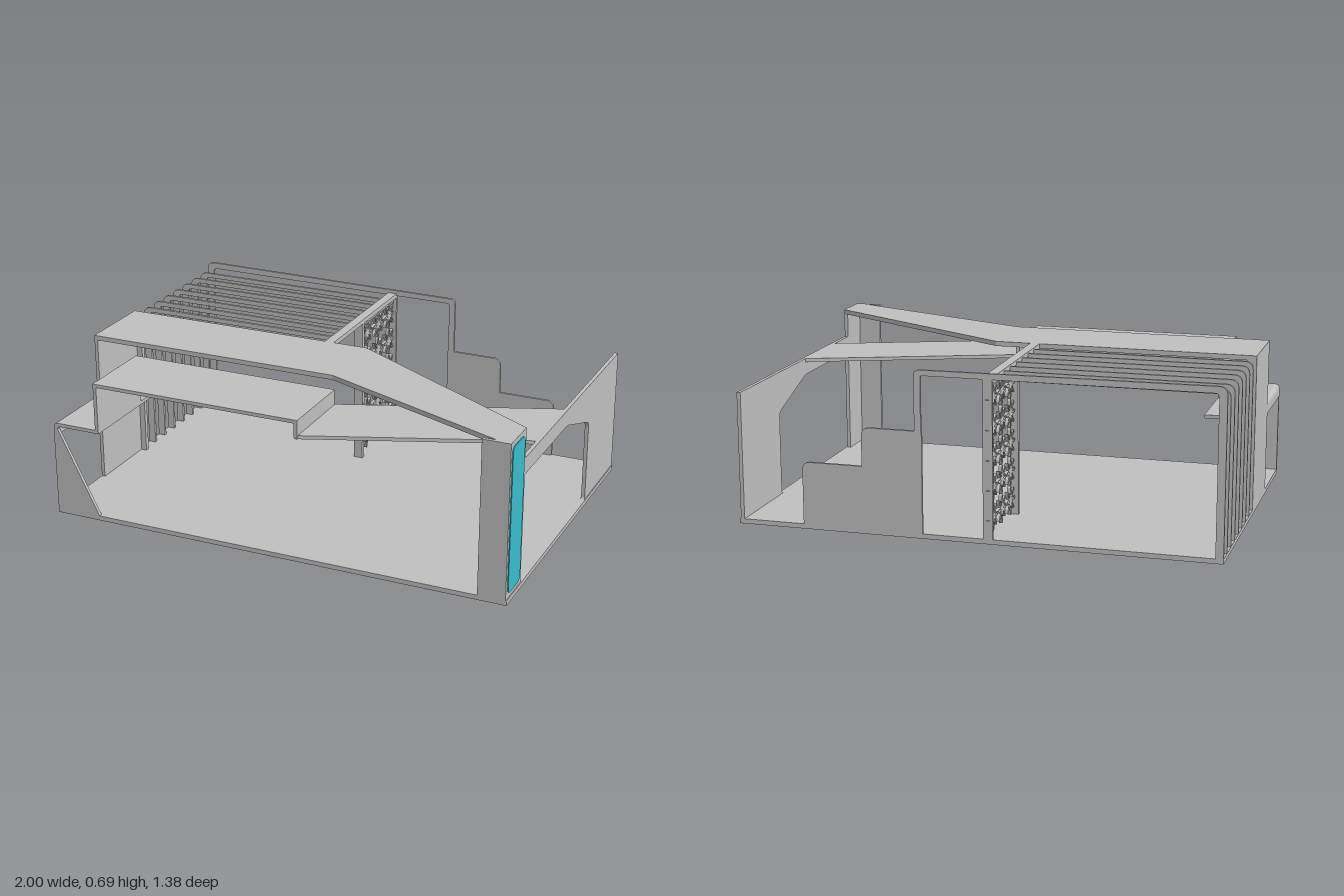
import * as THREE from 'three';

const grey = new THREE.MeshStandardMaterial({ color: 0xc0c0c0 });
grey.name = 'light grey';
const teal = new THREE.MeshStandardMaterial({ color: 0x38bece });
teal.name = 'teal';

// Outline from points; [x, y, cx, cy] is a curve to x, y round control cx, cy
function outline(points, Type = THREE.Shape) {
  const s = new Type();
  points.forEach(([x, y, cx, cy], i) => {
    if (i === 0) s.moveTo(x, y);
    else if (cx !== undefined) s.quadraticCurveTo(cx, cy, x, y);
    else s.lineTo(x, y);
  });
  s.closePath();
  return s;
}

const extrude = (shape, depth) =>
  new THREE.ExtrudeGeometry(shape, { depth, bevelEnabled: false, curveSegments: 8 });

export function createModel() {
  const model = new THREE.Group();
  model.name = 'exhibitionStand';

  function add(name, geometry, material = grey) {
    const mesh = new THREE.Mesh(geometry, material);
    mesh.name = name;
    model.add(mesh);
    return mesh;
  }
  const box = (name, x0, x1, y0, y1, z0, z1) =>
    add(name, new THREE.BoxGeometry(x1 - x0, y1 - y0, z1 - z0)
      .translate((x0 + x1) / 2, (y0 + y1) / 2, (z0 + z1) / 2));
  // Plate facing the front, outline in x, y
  const frontPlate = (name, shape, z0, z1) =>
    add(name, extrude(shape, z1 - z0).translate(0, 0, z0));
  // Plate facing sideways, outline in z, y
  const sidePlate = (name, shape, x0, x1, material) =>
    add(name, extrude(shape, x1 - x0).rotateY(-Math.PI / 2).translate(x1, 0, 0), material);
  // Horizontal sheet, outline in x, z
  const sheet = (name, points, y0, y1) =>
    add(name, extrude(outline(points), y1 - y0).rotateX(Math.PI / 2).translate(0, y1, 0));

  box('floor', -1, 1, 0, 0.02, -0.69, 0.69);

  // Upper roof, bending diagonally to the front column
  sheet('upperRoof', [[-1, 0], [0.11, 0], [0.995, 0.52], [0.995, 0.69], [0.97, 0.69], [0.11, 0.34], [-1, 0.34]], 0.655, 0.675);

  // Left end wall with its rear return
  box('leftWall', -1, -0.985, 0.02, 0.656, 0, 0.34);
  box('leftWallReturn', -0.985, -0.96, 0.02, 0.656, 0, 0.02);

  // Front ribbon: shelf, riser, canopy and step in one folded strip
  const hook = [[-0.97, 0.395], [-0.985, 0.355, -0.985, 0.395]];
  frontPlate('frontCanopy', outline([
    [-1, 0.355], [-1, 0.385], [-0.975, 0.41, -1, 0.41], [-0.8, 0.41], [-0.8, 0.615], [0.12, 0.615],
    [0.12, 0.535], [0.105, 0.535], [0.105, 0.6], [-0.785, 0.6], [-0.785, 0.395], ...hook,
  ]), 0.34, 0.69);
  frontPlate('innerShelf', outline([
    [-0.99, 0.355], [-0.99, 0.385], [-0.97, 0.41, -0.99, 0.41], [-0.785, 0.41], [-0.785, 0.395], ...hook,
  ]), 0.02, 0.34);
  frontPlate('frontLeg', outline([[-1, 0.01], [-0.795, 0.01], [-0.8, 0.02], [-0.975, 0.37],
    [-0.985, 0.395, -0.985, 0.385], [-1, 0.385, -1, 0.395]]), 0.675, 0.69);

  // Lower diagonal canopy crossing under the upper roof
  sheet('lowerCanopy', [[0.11, 0.34], [0.985, 0], [0.985, 0.35], [0.11, 0.69]], 0.535, 0.55);

  // Right wall with a large sloped opening
  const wall = outline([[-0.69, 0], [0.53, 0], [0.53, 0.55], [-0.69, 0.55]]);
  wall.holes.push(outline([[-0.285, 0.02], [0.52, 0.02], [0.52, 0.48], [0, 0.48], [-0.265, 0.39],
    [-0.3, 0.35, -0.3, 0.38], [-0.3, 0.035], [-0.285, 0.02, -0.3, 0.02]], THREE.Path));
  sidePlate('rightWall', wall, 0.98, 0.996);

  // L-shaped front column and its coloured panel
  box('columnFront', 0.88, 0.996, 0, 0.675, 0.675, 0.69);
  box('columnSide', 0.98, 0.996, 0, 0.675, 0.52, 0.676);
  sidePlate('columnPanel', outline([
    [0.57, 0.04], [0.645, 0.04], [0.675, 0.07, 0.675, 0.04], [0.675, 0.625], [0.645, 0.655, 0.675, 0.655],
    [0.57, 0.655], [0.54, 0.625, 0.54, 0.655], [0.54, 0.07], [0.57, 0.04, 0.54, 0.04],
  ]), 0.996, 1, teal);

  // Row of bent fins from the cross beam down to the left edge
  const fin = outline([[-1, 0.02], [-1, 0.63], [-0.965, 0.668, -1, 0.668], [-0.06, 0.668], [-0.06, 0.648],
    [-0.95, 0.648], [-0.968, 0.63, -0.968, 0.648], [-0.968, 0.02]]);
  for (let i = 0; i < 7; i++) {
    const z = -0.083 - i * 0.0875;
    frontPlate('fin', fin, z - 0.006, z + 0.006);
  }
  // Rear fin carries on to the stepped panel
  frontPlate('rearFin', outline([[-1, 0.02], [-1, 0.66], [-0.965, 0.695, -1, 0.695], [0.215, 0.688],
    [0.242, 0.665, 0.242, 0.688], [0.242, 0.43], [0.215, 0.43], [0.215, 0.655], [0.205, 0.665, 0.215, 0.665],
    [-0.95, 0.668], [-0.968, 0.65, -0.968, 0.668], [-0.968, 0.02]]), -0.69, -0.678);
  frontPlate('steppedPanel', outline([[0.212, 0.01], [0.212, 0.44], [0.43, 0.44], [0.465, 0.405, 0.465, 0.44],
    [0.465, 0.28], [0.685, 0.28], [0.72, 0.245, 0.72, 0.28], [0.72, 0.01]]), -0.69, -0.678);

  // Cross beam and screen posts
  box('crossBeam', -0.08, -0.04, 0.655, 0.675, -0.69, 0);
  box('screenPost', -0.08, -0.04, 0.02, 0.655, -0.323, -0.303);
  box('screenPost', -0.08, -0.04, 0.02, 0.655, -0.69, -0.678);

  // Floral screen: eight-petalled flowers with slotted petals
  const petals = 8, ring = [];
  for (let i = 0; i < petals * 6; i++) {
    const a = (i / (petals * 6)) * Math.PI * 2;
    const r = 0.044 + 0.018 * Math.cos(petals * a);
    ring.push([r * Math.cos(a), r * Math.sin(a)]);
  }
  const flower = outline(ring);
  for (let i = 0; i < petals; i++) {
    const a = (i / petals) * Math.PI * 2, c = Math.cos(a), s = Math.sin(a);
    const slot = [[0.015, 0], [0.034, 0.006], [0.052, 0.003], [0.052, -0.003], [0.034, -0.006]];
    flower.holes.push(outline(slot.map(([u, v]) => [u * c - v * s, u * s + v * c]), THREE.Path));
  }
  for (let row = 0; row < 5; row++) {
    for (let col = 0; col < 3; col++) {
      const mesh = sidePlate('screenFlower', flower, -0.067, -0.053);
      mesh.position.set(0, 0.585 - row * 0.122, -0.386 - col * 0.122);
    }
  }
  // Thin rail over the flowers
  box('screenRail', -0.067, -0.053, 0.632, 0.638, -0.68, -0.32);

  return model;
}
